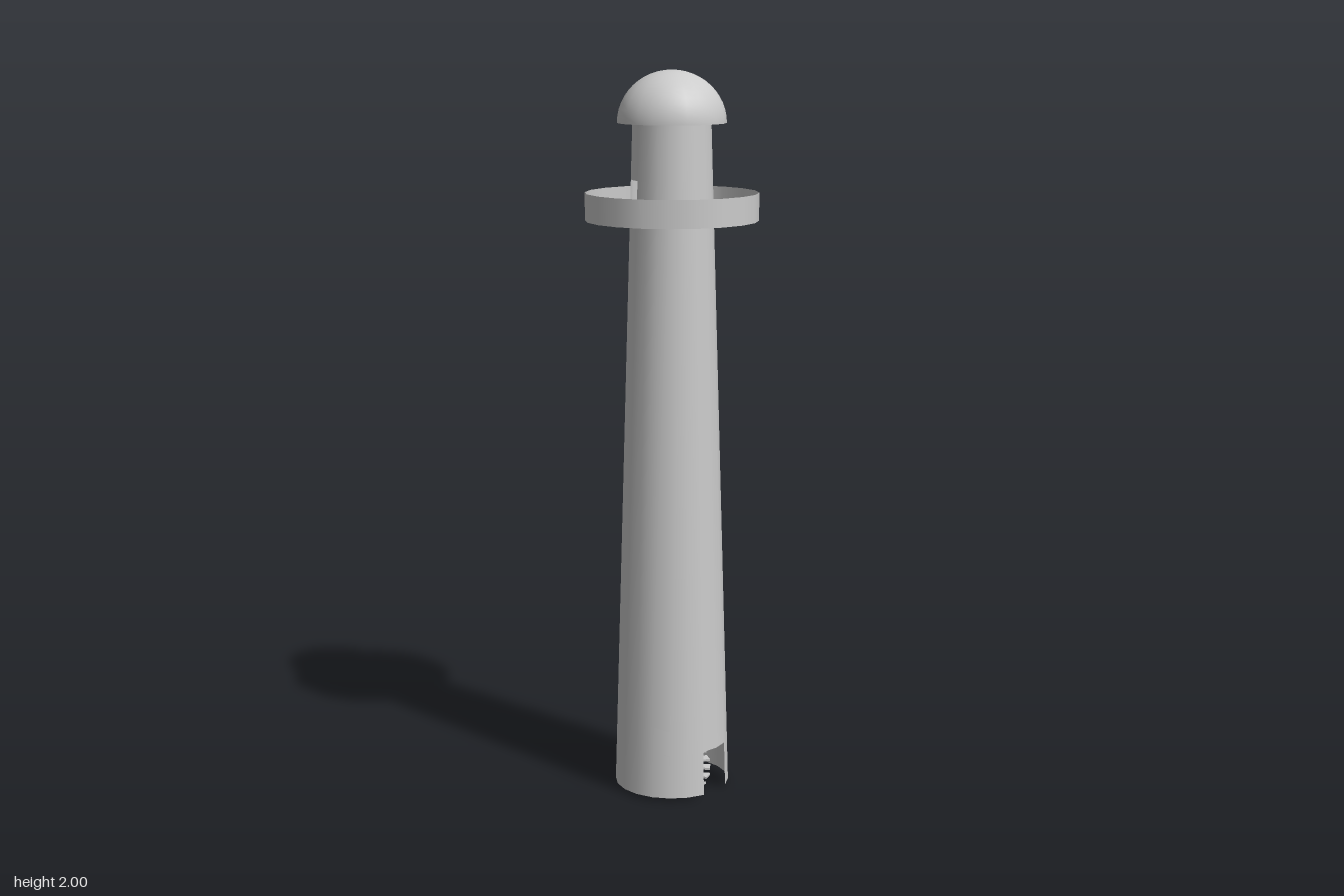
import * as THREE from 'three';

const SIDES = 20;
const SEG = (Math.PI * 2) / SIDES;
const BASE_Y = 0.01, TOP_Y = 1.86, DECK_Y = 1.6;
const wallRadius = (y) => 0.16 - (0.054 * (y - BASE_Y)) / (TOP_Y - BASE_Y);

export function createModel() {
  const model = new THREE.Group();
  const solid = new THREE.MeshStandardMaterial({ color: 0xcccccc });
  const thin = new THREE.MeshStandardMaterial({ color: 0xcccccc, side: THREE.DoubleSide });

  const add = (name, geometry, material, y = 0, parent = model) => {
    const mesh = new THREE.Mesh(geometry, material);
    mesh.name = name;
    mesh.position.y = y;
    parent.add(mesh);
    return mesh;
  };

  // Tapered tower shell in stacked bands; a band may leave a two-sided-wide doorway
  const tower = new THREE.Group();
  tower.name = 'tower';
  model.add(tower);
  const band = (name, y0, y1, doorSide = null) => {
    const start = doorSide === null ? 0 : (doorSide + 2) * SEG;
    const count = doorSide === null ? SIDES : SIDES - 2;
    const geometry = new THREE.CylinderGeometry(
      wallRadius(y1), wallRadius(y0), y1 - y0, count, 1, true, start, count * SEG);
    add(name, geometry, thin, (y0 + y1) / 2, tower);
  };
  band('entranceWall', BASE_Y, 0.135, 0);
  band('mainWall', 0.135, DECK_Y);
  band('galleryDoorWall', DECK_Y, 1.71, 13);
  band('lanternWall', 1.71, TOP_Y);

  // Gallery: flat deck and parapet around the tower
  const deck = new THREE.RingGeometry(wallRadius(DECK_Y), 0.235, SIDES);
  deck.rotateX(-Math.PI / 2);
  add('galleryDeck', deck, thin, DECK_Y);
  add('galleryParapet', new THREE.CylinderGeometry(0.235, 0.235, 0.075, SIDES, 1, true), thin, DECK_Y + 0.0375);

  // Domed roof with flat underside
  const dome = new THREE.SphereGeometry(0.147, SIDES, 12, 0, Math.PI * 2, 0, Math.PI / 2);
  dome.scale(1, 0.14 / 0.147, 1);
  add('domeRoof', dome, solid, TOP_Y);
  const soffit = new THREE.CircleGeometry(0.147, SIDES);
  soffit.rotateX(Math.PI / 2);
  add('roofUnderside', soffit, solid, TOP_Y);

  // Spiral staircase: central post and wedge treads from entrance to gallery door
  const stairs = new THREE.Group();
  stairs.name = 'spiralStairs';
  model.add(stairs);
  add('stairPost', new THREE.CylinderGeometry(0.025, 0.025, 1.62, 12), solid, 0.81, stairs);

  const wedge = new THREE.Shape([
    new THREE.Vector2(-0.005, -0.02),
    new THREE.Vector2(-0.017, -0.11),
    new THREE.Vector2(0.017, -0.11),
    new THREE.Vector2(0.005, -0.02),
  ]);
  const treadGeometry = new THREE.ExtrudeGeometry(wedge, { depth: 0.006, bevelEnabled: false });
  treadGeometry.rotateX(-Math.PI / 2);
  const steps = 113;
  for (let i = 0; i <= steps; i++) {
    const y = 0.012 + (i / steps) * (DECK_Y - 0.02);
    const tread = add('stairTread', treadGeometry, solid, y, stairs);
    tread.rotation.y = (i + 1) * SEG;
    const s = (wallRadius(y) - 0.025) / 0.135;
    tread.scale.set(s, 1, s);
  }
  return model;
}
